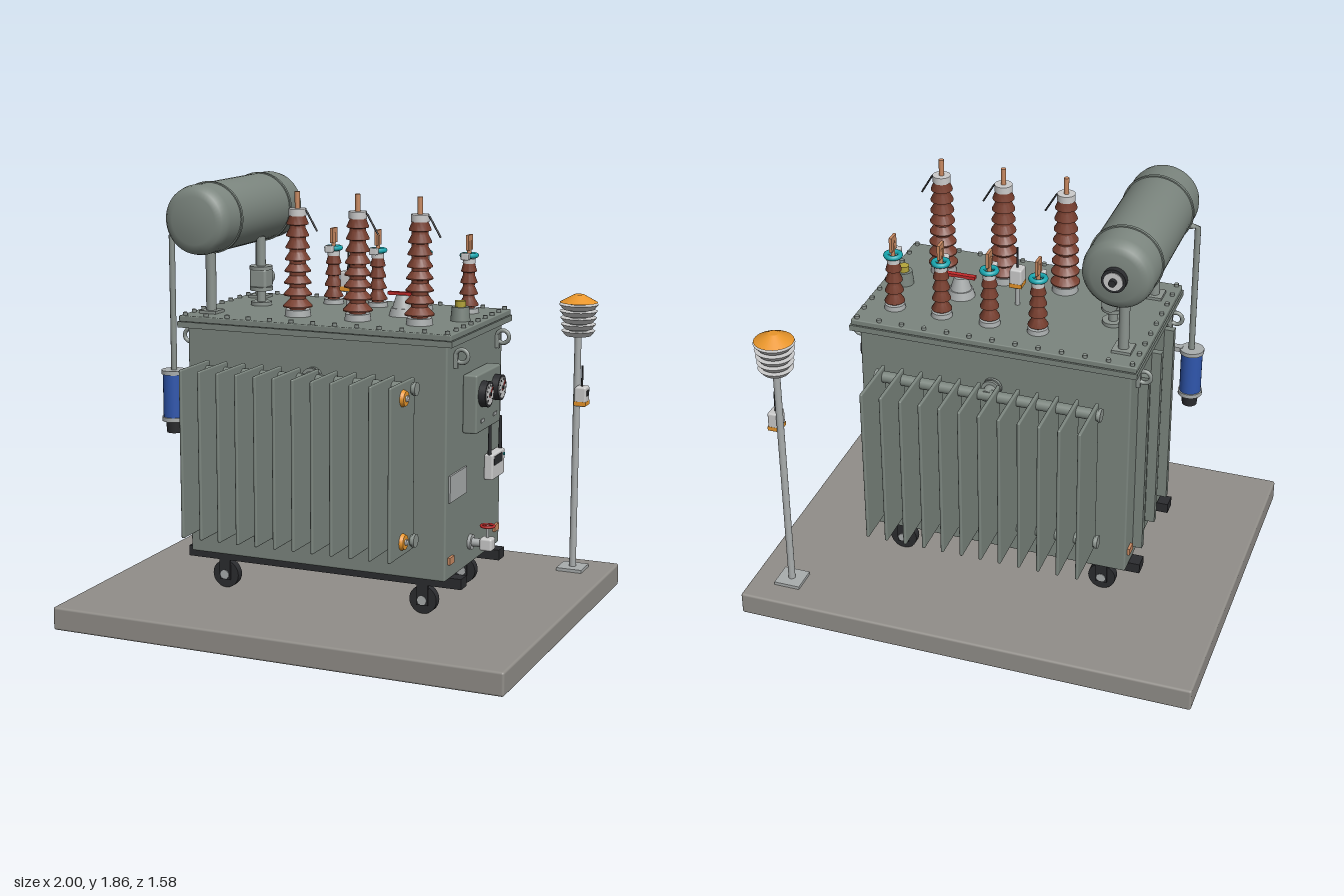
import * as THREE from 'three';
import { toCreasedNormals } from 'three/addons/utils/BufferGeometryUtils.js';
import { RoundedBoxGeometry } from 'three/addons/geometries/RoundedBoxGeometry.js';

const C = {
  tank: 0x7b857e, pipe: 0x8b938e, base: 0x918e89, dark: 0x2b2c2f, brown: 0x7a4030, copper: 0xc98a62,
  orange: 0xe8952a, teal: 0x17a7b0, white: 0xd8d8d6, steel: 0xa9adad, blue: 0x2f56ad, red: 0xc22a2a, yellow: 0xb5a53a,
};
const mats = {};
const mat = (c) => (mats[c] ??= new THREE.MeshStandardMaterial({ color: c }));

function add(parent, name, geo, color, x = 0, y = 0, z = 0) {
  const m = new THREE.Mesh(geo, mat(color));
  m.name = name;
  m.position.set(x, y, z);
  parent.add(m);
  return m;
}
const box = (p, name, w, h, d, x, y, z, c) => add(p, name, new THREE.BoxGeometry(w, h, d), c, x, y, z);
const rbox = (p, name, w, h, d, x, y, z, c, r = 0.008) => add(p, name, new RoundedBoxGeometry(w, h, d, 2, r), c, x, y, z);
// Cylinder centred on x, y, z; axis is the direction of its top
function cyl(p, name, rTop, rBot, h, x, y, z, c, axis = 'y', seg = 24) {
  const g = new THREE.CylinderGeometry(rTop, rBot, h, seg);
  if (axis === 'x') g.rotateZ(-Math.PI / 2);
  if (axis === 'z') g.rotateX(Math.PI / 2);
  return add(p, name, g, c, x, y, z);
}
const ring = (p, name, r, t, x, y, z, c) => add(p, name, new THREE.TorusGeometry(r, t, 8, 28), c, x, y, z);
const lathe = (pts, seg = 28) =>
  toCreasedNormals(new THREE.LatheGeometry(pts.map(([r, y]) => new THREE.Vector2(r, y)), seg), 0.6);
function tube(p, name, pts, r, c) {
  const path = new THREE.CurvePath();
  const v = pts.map((a) => new THREE.Vector3(...a));
  for (let i = 1; i < v.length; i++) path.add(new THREE.LineCurve3(v[i - 1], v[i]));
  return add(p, name, new THREE.TubeGeometry(path, 24, r, 10), c);
}
function group(parent, name, x = 0, y = 0, z = 0) {
  const g = new THREE.Group();
  g.name = name;
  g.position.set(x, y, z);
  parent.add(g);
  return g;
}

// Insulator with sheds that widen downwards
function insulator(p, rCore, rBot, rTop, y0, y1, n) {
  const pts = [[0, y0], [rCore, y0]], s = (y1 - y0) / n;
  for (let i = 0; i < n; i++) {
    const y = y0 + i * s, r = rBot + (rTop - rBot) * i / (n - 1);
    pts.push([rCore, y + s * 0.15], [r, y + s * 0.22], [r, y + s * 0.32], [rCore, y + s * 0.9]);
  }
  pts.push([rCore, y1], [0, y1]);
  add(p, 'insulator', lathe(pts), C.brown);
}

function highVoltageBushing(root, x) {
  const g = group(root, 'highVoltageBushing', x, 1.3, 0.163);
  cyl(g, 'bushingFlange', 0.052, 0.056, 0.03, 0, 0.015, 0, C.steel);
  insulator(g, 0.034, 0.062, 0.046, 0.03, 0.425, 8);
  cyl(g, 'bushingCap', 0.038, 0.038, 0.03, 0, 0.437, 0, C.white);
  cyl(g, 'terminalRod', 0.011, 0.011, 0.075, 0, 0.485, 0, C.copper, 'y', 12);
  tube(g, 'arcingHorn', [[0.02, 0.44, 0], [0.04, 0.445, 0], [0.09, 0.36, 0]], 0.004, C.dark);
}

function lowVoltageBushing(root, x) {
  const g = group(root, 'lowVoltageBushing', x, 1.3, -0.204);
  cyl(g, 'bushingFlange', 0.042, 0.045, 0.022, 0, 0.011, 0, C.steel);
  insulator(g, 0.025, 0.042, 0.033, 0.022, 0.215, 4);
  cyl(g, 'bushingCap', 0.027, 0.027, 0.02, 0, 0.222, 0, C.white);
  cyl(g, 'terminalStud', 0.009, 0.009, 0.09, 0, 0.265, 0, C.copper, 'y', 12);
  ring(g, 'currentSensor', 0.03, 0.011, 0, 0.245, 0, C.teal).rotation.x = Math.PI / 2;
  rbox(g, 'sensorHead', 0.036, 0.03, 0.026, 0, 0.245, 0.046, C.white, 0.005);
  box(g, 'terminalFlag', 0.012, 0.065, 0.052, 0, 0.3, 0, C.copper);
}

// Radiator bank; side is the sign of z
function radiator(root, side) {
  const g = group(root, side > 0 ? 'frontRadiator' : 'backRadiator');
  for (let i = 0; i < 12; i++)
    rbox(g, 'radiatorFin', 0.014, 0.708, 0.25, -0.46 + i * 0.0836, 0.774, side * 0.508, C.tank, 0.006);
  for (const y of [1.085, 0.46]) {
    cyl(g, 'headerPipe', 0.024, 0.024, 0.96, 0, y, side * 0.408, C.tank, 'x');
    cyl(g, 'feedPipe', 0.026, 0.026, 0.1, 0, y, side * 0.37, C.pipe, 'z');
    for (const z of [0.342, 0.362]) cyl(g, 'feedFlange', 0.04, 0.04, 0.012, 0, y, side * z, C.pipe, 'z');
    for (const x of [-0.48, 0.48]) cyl(g, 'headerCap', 0.028, 0.028, 0.012, x, y, side * 0.408, C.pipe, 'x');
  }
  if (side > 0) for (const y of [1.065, 0.48]) {
    cyl(g, 'temperatureSensor', 0.03, 0.035, 0.016, 0.474, y, 0.51, C.orange, 'x');
    cyl(g, 'sensorCentre', 0.013, 0.013, 0.01, 0.484, y, 0.51, C.white, 'x', 6);
  }
}

function wirelessNode(root, x, y, z) {
  const g = group(root, 'wirelessNode', x, y, z);
  rbox(g, 'nodeCase', 0.052, 0.088, 0.062, 0, 0, 0, C.white);
  box(g, 'nodeBand', 0.054, 0.018, 0.064, 0, -0.03, 0, C.orange);
  box(g, 'nodeDisplay', 0.004, 0.025, 0.035, 0.026, 0.015, 0, C.dark);
  cyl(g, 'nodeAntenna', 0.004, 0.005, 0.095, 0, 0.088, 0, C.dark, 'y', 8);
}

export function createModel() {
  const root = new THREE.Group();
  root.name = 'transformer';
  rbox(root, 'concretePad', 2, 0.1, 1.58, 0, 0.05, 0, C.base, 0.01);

  // Tank, flange, lid and lid bolts
  rbox(root, 'tank', 1.166, 0.985, 0.66, 0, 0.767, 0, C.tank);
  box(root, 'tankFlange', 1.23, 0.025, 0.73, 0, 1.264, 0, C.tank);
  rbox(root, 'lid', 1.22, 0.026, 0.72, 0, 1.289, 0, C.tank, 0.005);
  const bolt = (x, z) => cyl(root, 'lidBolt', 0.01, 0.01, 0.014, x, 1.308, z, C.pipe, 'y', 6);
  for (let i = 0; i < 13; i++) for (const s of [-1, 1]) bolt(-0.588 + i * 0.098, s * 0.342);
  for (let i = 1; i < 8; i++) for (const s of [-1, 1]) bolt(s * 0.592, -0.342 + i * 0.0855);

  // Skids and wheels
  for (const z of [-0.233, 0.233]) {
    box(root, 'skid', 1.26, 0.045, 0.065, 0, 0.252, z, C.dark);
    for (const x of [-0.46, 0.456]) {
      cyl(root, 'wheel', 0.06, 0.06, 0.035, x, 0.162, z, C.dark, 'z', 32);
      cyl(root, 'wheelHub', 0.02, 0.02, 0.062, x, 0.162, z, C.steel, 'z', 16);
      for (const s of [-1, 1]) box(root, 'wheelFork', 0.05, 0.1, 0.008, x, 0.19, z + s * 0.024, C.dark);
    }
  }

  // Stiffeners, lifting eyes and earthing pads
  for (const z of [-0.2, 0, 0.2]) box(root, 'stiffener', 0.042, 0.85, 0.03, -0.603, 0.75, z, C.tank);
  for (const x of [-1, 1]) for (const z of [-0.25, 0.25]) {
    ring(root, 'liftingEye', 0.027, 0.009, x * 0.615, 1.2, z, C.pipe);
    box(root, 'liftingLug', 0.025, 0.06, 0.016, x * 0.588, 1.18, z, C.pipe);
    box(root, 'earthPad', 0.012, 0.03, 0.05, x * 0.588, 0.355, z * 1.1, C.copper);
  }
  radiator(root, 1);
  radiator(root, -1);

  for (const x of [-0.15, 0.123, 0.397]) highVoltageBushing(root, x);
  for (const x of [-0.15, 0.058, 0.267, 0.475]) lowVoltageBushing(root, x);

  // Conservator drum with bands, legs and level gauge
  const drum = group(root, 'conservator', -0.52, 1.705, 0);
  const shell = [[0, -0.39], [0.1, -0.388], [0.128, -0.378], [0.142, -0.36], [0.147, -0.335]];
  add(drum, 'drum', lathe([...shell, ...shell.map(([r, y]) => [r, -y]).reverse()], 48).rotateX(Math.PI / 2), C.tank);
  for (const z of [-0.235, 0.235]) {
    cyl(drum, 'drumBand', 0.152, 0.152, 0.014, 0, 0, z, C.tank, 'z', 48);
    cyl(drum, 'drumLeg', 0.022, 0.022, 0.3, 0, -0.26, z, C.pipe);
    box(drum, 'legFoot', 0.08, 0.014, 0.08, 0, -0.398, z, C.pipe);
  }
  cyl(drum, 'levelGauge', 0.05, 0.05, 0.03, 0, 0, -0.4, C.dark, 'z');
  cyl(drum, 'levelGaugeFace', 0.038, 0.038, 0.006, 0, 0, -0.416, C.white, 'z');
  cyl(drum, 'levelGaugeCentre', 0.015, 0.015, 0.025, 0, 0, -0.425, C.dark, 'z');

  // Gas relay on the pipe between tank and drum
  const relay = group(root, 'gasRelay', -0.42, 1.42, -0.04);
  cyl(relay, 'relayPipe', 0.02, 0.02, 0.3, 0, 0.03, 0, C.pipe);
  rbox(relay, 'relayBody', 0.08, 0.085, 0.08, 0, 0, 0, C.pipe, 0.012);
  for (const y of [-0.045, 0.045]) cyl(relay, 'relayFlange', 0.05, 0.05, 0.016, 0, y, 0, C.pipe);
  cyl(relay, 'relayWindow', 0.035, 0.035, 0.03, 0, 0, -0.05, C.pipe, 'z');
  cyl(relay, 'relayFoot', 0.045, 0.045, 0.016, 0, -0.11, 0, C.pipe);

  // Breather pipe and drying canister
  tube(root, 'breatherPipe', [[-0.63, 1.63, 0.277], [-0.682, 1.63, 0.277], [-0.682, 1.04, 0.277]], 0.013, C.pipe);
  const breather = group(root, 'breather', -0.685, 0, 0.277);
  cyl(breather, 'breatherGel', 0.046, 0.046, 0.19, 0, 0.94, 0, C.blue);
  for (const y of [1.042, 0.838]) cyl(breather, 'breatherCap', 0.052, 0.052, 0.018, 0, y, 0, C.steel);
  cyl(breather, 'oilCup', 0.036, 0.032, 0.05, 0, 0.803, 0, C.dark);
  box(root, 'breatherBracket', 0.07, 0.02, 0.03, -0.61, 1.042, 0.277, C.steel);

  // Lid fittings
  cyl(root, 'reliefValve', 0.05, 0.06, 0.035, 0.25, 1.318, -0.02, C.steel);
  cyl(root, 'reliefStem', 0.028, 0.045, 0.055, 0.25, 1.362, -0.02, C.steel);
  box(root, 'reliefLever', 0.13, 0.014, 0.022, 0.25, 1.394, -0.02, C.red);
  cyl(root, 'fillerNeck', 0.036, 0.042, 0.06, 0.516, 1.33, 0.005, C.tank);
  cyl(root, 'fillerCap', 0.024, 0.024, 0.025, 0.516, 1.372, 0.005, C.yellow, 'y', 8);
  cyl(root, 'nodePost', 0.01, 0.01, 0.1, 0, 1.35, -0.02, C.steel);
  wirelessNode(root, 0, 1.433, -0.02);

  // Gauge cabinet with two dials
  rbox(root, 'gaugeCabinet', 0.062, 0.245, 0.295, 0.614, 0.982, 0.002, C.tank);
  for (const z of [0.08, -0.075]) {
    const dial = group(root, 'dial', 0.645, 1.018, z);
    cyl(dial, 'dialRim', 0.054, 0.054, 0.03, 0.015, 0, 0, C.dark, 'x', 32);
    cyl(dial, 'dialFace', 0.045, 0.045, 0.004, 0.031, 0, 0, C.white, 'x', 32);
    for (let i = 0; i < 9; i++) {
      const a = -0.7 + i * 0.57;
      box(dial, 'dialTick', 0.003, 0.003, 0.009, 0.034, Math.sin(a) * 0.037, Math.cos(a) * 0.037, C.dark).rotation.x = -a;
    }
    box(dial, 'needle', 0.003, 0.05, 0.005, 0.035, 0.008, -0.008, C.red).rotation.x = -0.8;
    cyl(dial, 'needleHub', 0.008, 0.008, 0.006, 0.035, 0, 0, C.dark, 'x', 12);
    box(root, 'dialPlate', 0.004, 0.014, 0.04, 0.646, 0.905, z, C.steel);
  }
  box(root, 'ratingPlate', 0.008, 0.112, 0.195, 0.587, 0.657, 0.203, C.steel);

  // Monitoring unit
  rbox(root, 'monitorCase', 0.04, 0.112, 0.156, 0.603, 0.657, -0.199, C.white);
  box(root, 'monitorDisplay', 0.004, 0.038, 0.1, 0.623, 0.682, -0.19, C.dark);
  cyl(root, 'monitorLamp', 0.007, 0.007, 0.006, 0.624, 0.69, -0.262, C.teal, 'x', 12);
  for (const z of [-0.13, -0.264]) cyl(root, 'monitorAntenna', 0.006, 0.008, 0.145, 0.605, 0.782, z, C.dark, 'y', 10);

  // Drain valve
  const valve = group(root, 'drainValve', 0.663, 0.373, 0.045);
  cyl(valve, 'valvePipe', 0.018, 0.018, 0.1, -0.04, 0, 0, C.steel, 'x');
  cyl(valve, 'valveFlange', 0.032, 0.032, 0.014, -0.072, 0, 0, C.steel, 'x');
  rbox(valve, 'valveBody', 0.055, 0.055, 0.055, 0, 0, 0, C.white, 0.01);
  cyl(valve, 'valveStem', 0.007, 0.007, 0.06, 0, 0.05, 0, C.steel, 'y', 10);
  ring(valve, 'handwheel', 0.027, 0.006, 0, 0.077, 0, C.red).rotation.x = Math.PI / 2;
  box(valve, 'wheelSpoke', 0.054, 0.006, 0.008, 0, 0.077, 0, C.red);
  box(valve, 'wheelSpoke', 0.008, 0.006, 0.054, 0, 0.077, 0, C.red);

  // Weather station on its pole
  const station = group(root, 'weatherStation', 0.832, 0, -0.625);
  box(station, 'poleFoot', 0.115, 0.014, 0.115, 0, 0.107, 0, C.steel);
  cyl(station, 'pole', 0.015, 0.015, 1.07, 0, 0.635, 0, C.steel);
  cyl(station, 'shieldCore', 0.04, 0.04, 0.15, 0, 1.235, 0, C.steel);
  for (let i = 0; i < 5; i++) {
    const r = 0.064 + i * 0.003;
    cyl(station, 'shieldLouver', r + 0.01, r - 0.008, 0.022, 0, 1.172 + i * 0.029, 0, C.white, 'y', 32);
  }
  cyl(station, 'shieldRoof', 0.022, 0.083, 0.034, 0, 1.325, 0, C.orange, 'y', 32);
  wirelessNode(station, 0.034, 0.9, 0.035);
  return root;
}
